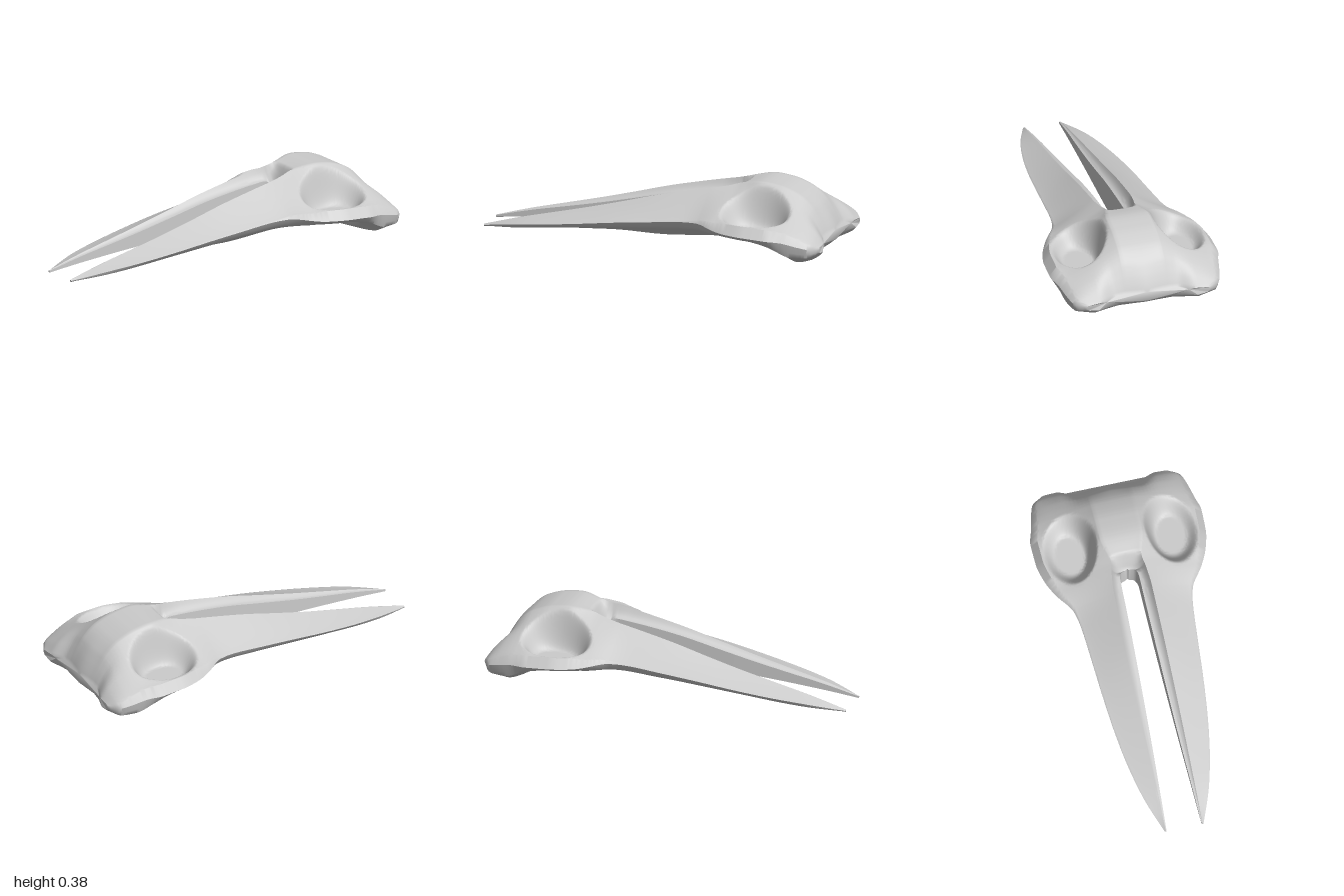
import * as THREE from 'three';
import { toCreasedNormals } from 'three/addons/utils/BufferGeometryUtils.js';

const { lerp, smoothstep } = THREE.MathUtils;

// Smooth curve through [z, value] pairs (z descending) that never overshoots.
function curve(...keys) {
  const slope = (i) => (keys[i + 1][1] - keys[i][1]) / (keys[i + 1][0] - keys[i][0]);
  const last = keys.length - 1;
  const tangent = (i) => {
    if (i === 0) return slope(0);
    if (i === last) return slope(last - 1);
    const a = slope(i - 1), b = slope(i);
    return a * b <= 0 ? 0 : (2 * a * b) / (a + b);
  };
  return (z) => {
    let i = 0;
    while (i < last - 1 && z < keys[i + 1][0]) i++;
    const h = keys[i + 1][0] - keys[i][0];
    const t = Math.min(1, Math.max(0, (z - keys[i][0]) / h)), s = 1 - t;
    return (1 + 2 * t) * s * s * keys[i][1] + t * s * s * h * tangent(i)
      + t * t * (3 - 2 * t) * keys[i + 1][1] - t * t * s * h * tangent(i + 1);
  };
}

// Plan outline: slot wall, top ridge, outer edge, inset of the underside and lower keel
const slotX = curve([1, 0.097], [0.8, 0.088], [0.5, 0.075], [0.2, 0.065], [-0.2, 0.055],
  [-0.38, 0.052], [-0.405, 0.046], [-0.425, 0.03], [-0.436, 0], [-1, 0]);
const ridgeX = curve([1, 0.102], [0.8, 0.106], [0.3, 0.11], [-0.3, 0.105], [-0.4, 0.095], [-0.46, 0.085],
  [-0.6, 0.115], [-1, 0.12]);
const edgeX = curve([1, 0.108], [0.9, 0.148], [0.8, 0.183], [0.6, 0.23], [0.4, 0.26], [0.2, 0.28],
  [0, 0.295], [-0.2, 0.312], [-0.28, 0.33], [-0.4, 0.405], [-0.5, 0.45], [-0.6, 0.472],
  [-0.72, 0.475], [-0.8, 0.455], [-0.9, 0.432], [-0.96, 0.41], [-1, 0.35]);
const underInset = curve([1, 0.12], [-0.4, 0.12], [-0.6, 0.09], [-0.8, 0.05], [-1, 0.04]);
const keelX = curve([1, 0.102], [0.8, 0.11], [0, 0.12], [-0.4, 0.13], [-0.7, 0.17], [-0.87, 0.33], [-1, 0.28]);

// Heights: ridge, drop to the slot, outer edge, brow rim, underside
const ridgeY = curve([1, 0.014], [0.8, 0.068], [0.6, 0.114], [0.4, 0.16], [0.2, 0.21], [0, 0.262],
  [-0.2, 0.305], [-0.4, 0.345], [-0.5, 0.371], [-0.6, 0.384], [-0.7, 0.372], [-0.8, 0.337],
  [-0.9, 0.27], [-0.95, 0.212], [-0.985, 0.155], [-1, 0.122]);
const slotDrop = curve([1, 0.002], [0.6, 0.015], [0, 0.035], [-0.36, 0.06], [-0.4, 0.068], [-0.436, 0.11],
  [-0.46, 0.06], [-0.495, 0.003], [-0.6, 0], [-1, 0]);
const edgeY = curve([1, 0.008], [0.8, 0.046], [0.6, 0.074], [0.4, 0.102], [0.2, 0.13], [0, 0.153],
  [-0.2, 0.175], [-0.3, 0.18], [-0.45, 0.163], [-0.6, 0.157], [-0.8, 0.143], [-0.9, 0.12], [-1, 0.095]);
const rimH = curve([1, 0], [-0.2, 0.004], [-0.4, 0.035], [-0.5, 0.052], [-0.7, 0.054], [-0.85, 0.042],
  [-0.95, 0.022], [-1, 0.008]);
const underY = curve([1, 0.004], [0.8, 0.026], [0.4, 0.077], [0, 0.115], [-0.3, 0.135], [-0.6, 0.132],
  [-0.72, 0.115], [-0.86, 0.058], [-0.94, 0.055], [-1, 0.075]);
const keelY = curve([1, 0], [0.8, 0.018], [0.4, 0.042], [0.2, 0.05], [0, 0.046], [-0.4, 0.068],
  [-0.55, 0.065], [-0.7, 0.045], [-0.87, 0.012], [-0.94, 0.024], [-0.98, 0.046], [-1, 0.066]);
const innerY = curve([1, 0.002], [0.8, 0.024], [0.4, 0.055], [0, 0.07], [-0.42, 0.09], [-0.7, 0.075],
  [-0.87, 0.038], [-0.94, 0.032], [-1, 0.068]);
const hollow = curve([1, 1.1], [-0.2, 1.1], [-0.4, 1.12], [-0.6, 1.5], [-0.8, 1.12], [-0.9, 0.85], [-1, 0.65]);

const ellipse = (x, z, cx, cz, rx, rz) => ((x - cx) / rx) ** 2 + ((z - cz) / rz) ** 2;

// Eye socket pressed into the top
function socket(x, y, z) {
  const r = ellipse(x, z, 0.28, -0.612, 0.15, 0.205);
  return lerp(y, 0.15, smoothstep(1 - r, 0, 0.75));
}

// Hollow below each socket
function recess(x, y, z) {
  const r = ellipse(x, z, 0.28, -0.58, 0.155, 0.19);
  return lerp(y, Math.max(y, 0.122), smoothstep(1 - r, 0, 0.55));
}

// Half cross-section, from the inner top over the outer edge to the inner bottom
function section(z) {
  const xi = Math.max(0, slotX(z)), xr = ridgeX(z), xo = edgeX(z), yr = ridgeY(z);
  const ye = edgeY(z), rim = rimH(z), xRim = xo - rim * 0.7, yRim = ye + rim;
  const xk = keelX(z), yk = keelY(z), xu = xo - underInset(z) * (xo - xi), yu = underY(z);
  const pts = [];
  for (let i = 0; i < 6; i++) pts.push([lerp(xi, xr, i / 6), yr - slotDrop(z) * (1 - (i / 6) ** 2.5)]);
  for (let i = 0; i <= 44; i++) {
    const s = i / 44, x = lerp(xr, xRim, s);
    pts.push([x, socket(x, yRim + (yr - yRim) * (1 - s) ** hollow(z), z)]);
  }
  pts.push([xo, ye], [lerp(xo, xu, 0.5), lerp(ye, yu, 0.6)]);
  for (let i = 0; i < 18; i++) {
    const x = lerp(xu, xk, i / 18);
    pts.push([x, recess(x, lerp(yu, yk, i / 18), z)]);
  }
  for (let i = 0; i <= 4; i++) {
    const x = lerp(xk, xi, i / 4);
    pts.push([x, recess(x, lerp(yk, innerY(z), i / 4), z)]);
  }
  // wavy back outline
  return pts.map(([x, y]) => [x, y, z + 0.033 * smoothstep(-z, 0.8, 1)
    * (1 - smoothstep(x, 0.17, 0.28)) * lerp(0.6, 1, smoothstep(x, 0, 0.14))]);
}

function skullGeometry() {
  const zs = [];
  for (let i = 0; i < 27; i++) zs.push(lerp(1, -0.28, i / 27));
  for (let i = 0; i <= 90; i++) zs.push(lerp(-0.28, -1, i / 90));
  const rows = zs.map(section), n = rows[0].length;
  const positions = [], index = [];

  // Both halves share the rule; the mirrored one turns its faces round
  for (const side of [1, -1]) {
    const base = positions.length / 3;
    const add = (p) => positions.push(side * p[0], p[1], p[2]);
    const tri = (a, b, c) => index.push(base + a, base + (side > 0 ? b : c), base + (side > 0 ? c : b));
    rows.forEach((row) => row.forEach(add));
    for (let i = 0; i < rows.length - 1; i++) {
      for (let j = 0; j < n; j++) {
        const k = (j + 1) % n;
        // no wall where the halves meet
        if (k === 0 && rows[i][0][0] === 0 && rows[i + 1][0][0] === 0) continue;
        const a = i * n + j, b = i * n + k;
        tri(a, b, a + n);
        tri(b, b + n, a + n);
      }
    }
    // Close the prong tip and the back
    for (const end of [0, rows.length - 1]) {
      const centre = [0, 1, 2].map((c) => rows[end].reduce((sum, p) => sum + p[c], 0) / n);
      const c = positions.length / 3 - base;
      add(centre);
      for (let j = 0; j < n; j++) {
        const a = end * n + j, b = end * n + ((j + 1) % n);
        if (end === 0) tri(c, b, a);
        else tri(c, a, b);
      }
    }
  }
  const geometry = new THREE.BufferGeometry();
  geometry.setAttribute('position', new THREE.Float32BufferAttribute(positions, 3));
  geometry.setIndex(index);
  return toCreasedNormals(geometry, 0.8);
}

export function createModel() {
  const group = new THREE.Group();
  group.name = 'prongedSkull';
  const skull = new THREE.Mesh(skullGeometry(), new THREE.MeshStandardMaterial({ color: 0xcccccc }));
  skull.name = 'skull';
  group.add(skull);
  return group;
}
